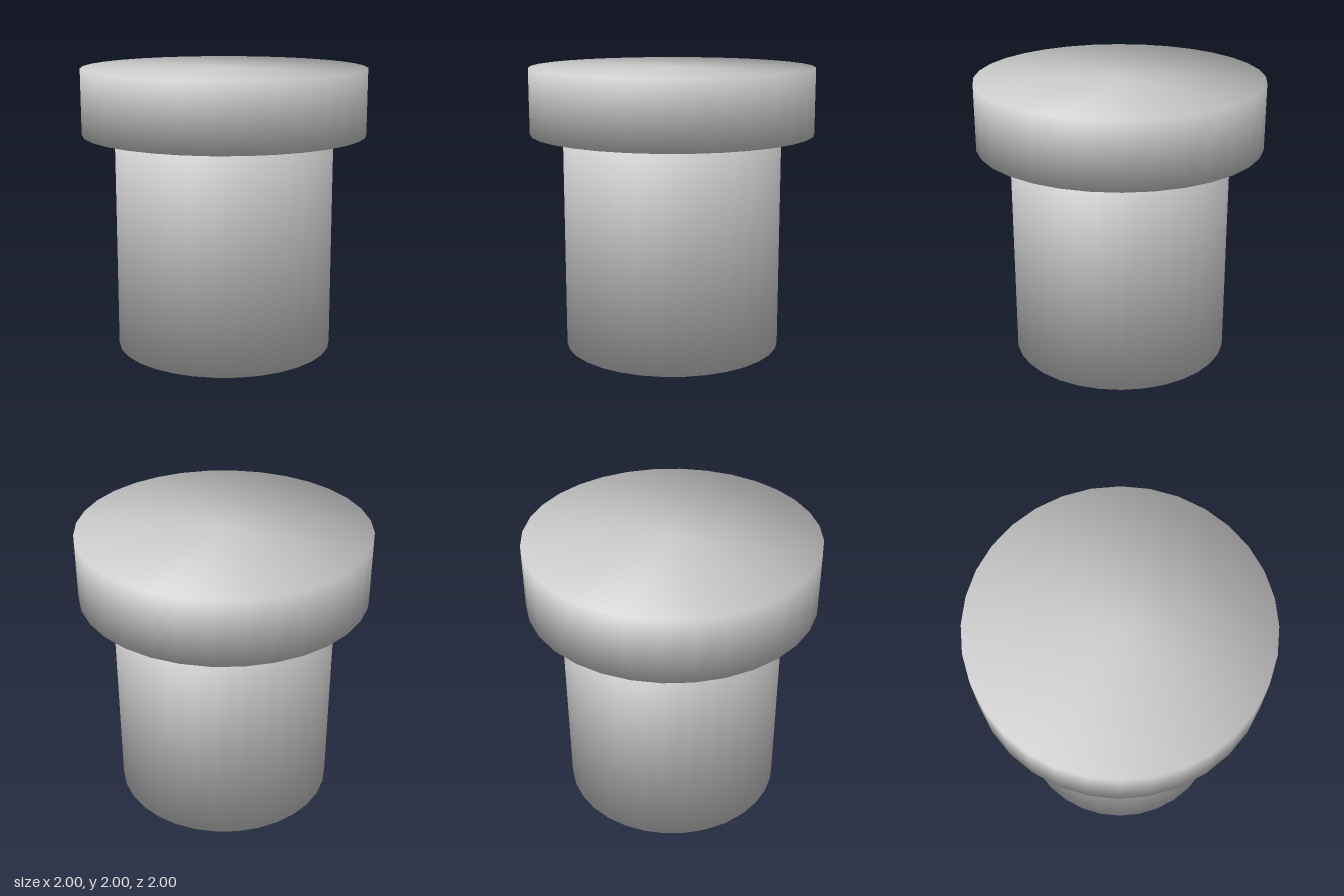
import * as THREE from 'three';

const material = new THREE.MeshStandardMaterial({ color: 0xcccccc });

// 32-sided closed cylinder between two heights, shaded smoothly over its rims
function smoothCylinder(name, radius, bottom, top) {
  const geometry = new THREE.CylinderGeometry(radius, radius, top - bottom, 32);
  const { position, normal } = geometry.attributes;
  const s = 1 / (radius * Math.SQRT2);
  for (let i = 0; i < position.count; i++) {
    // rim normals lean 45 degrees; cap centres point straight along the axis
    normal.setXYZ(i, position.getX(i) * s, Math.sign(position.getY(i)) * Math.SQRT1_2, position.getZ(i) * s);
  }
  geometry.translate(0, (top + bottom) / 2, 0);
  const mesh = new THREE.Mesh(geometry, material);
  mesh.name = name;
  return mesh;
}

export function createModel() {
  const group = new THREE.Group();
  group.name = 'pin';
  group.add(smoothCylinder('shaft', 0.77, 0, 1.54)); // lower body
  group.add(smoothCylinder('head', 1, 1.54, 2)); // wide cap
  return group;
}
